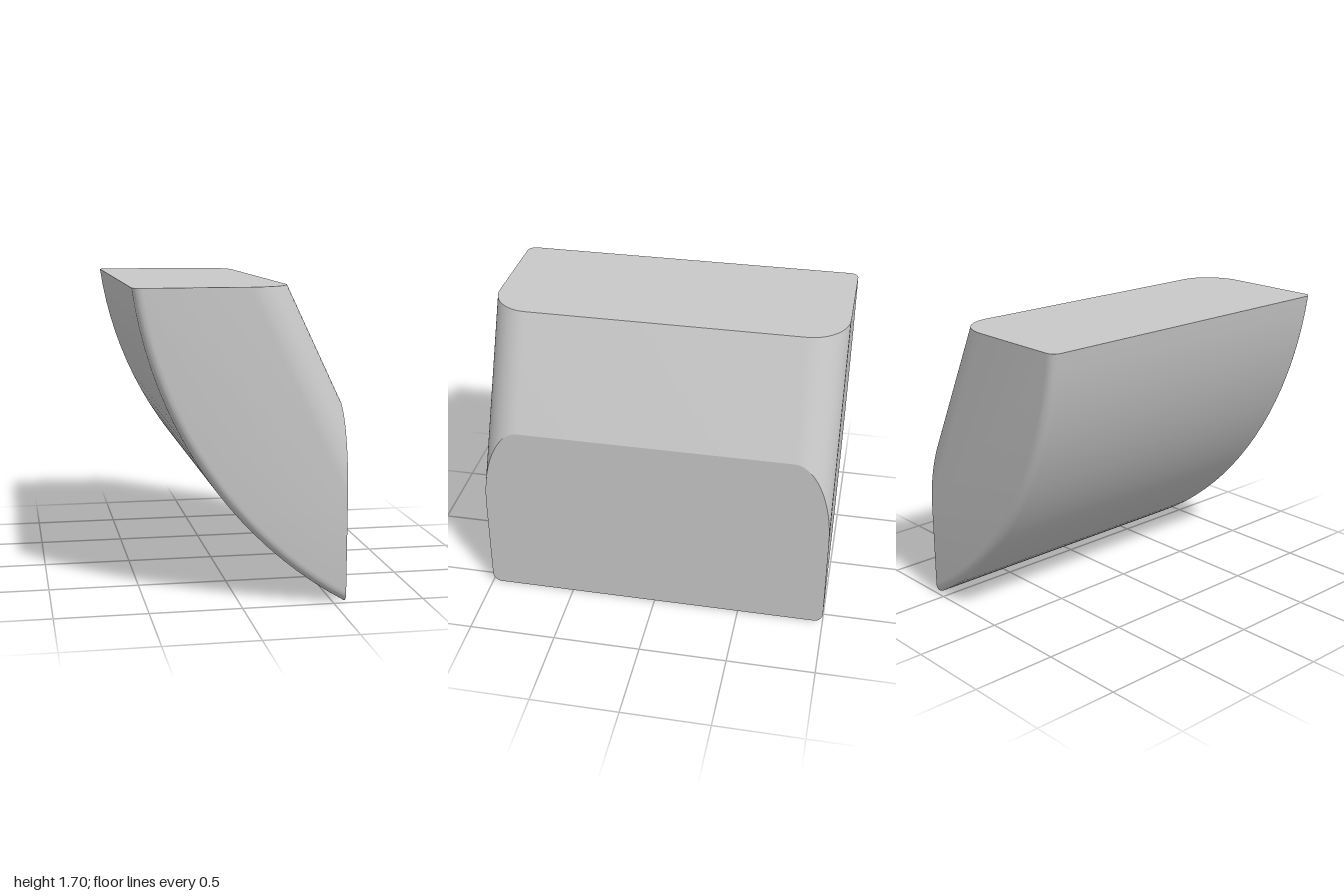
import * as THREE from 'three';
import { toCreasedNormals } from 'three/addons/utils/BufferGeometryUtils.js';

const TOP = 1.7, RIGHT = 0.567;            // flat top and flat right face
const ARC = { x: 1.743, y: 2.016, r: 2.334 }; // curved underside
const SLANT_R = 0.22, ARC_R = 0.05;        // edge roundings at both ends
const ARC_STEPS = 20;

// Inset of a rounded edge of radius r at distance w from the end face
const inset = (r, w) => (w >= r ? 0 : r - Math.sqrt(r * r - (r - w) ** 2));

// Cross-section at distance w from the end, counter-clockwise seen from +z
function section(w) {
  const length = Math.hypot(0.297, 0.62);
  const nx = 0.62 / length, ny = 0.297 / length;
  const d = 0.27 * nx + TOP * ny - inset(SLANT_R, w);
  const r = ARC.r - inset(ARC_R, w);
  const from = Math.PI + Math.asin((ARC.y - TOP) / r);
  const to = 2 * Math.PI - Math.acos((RIGHT - ARC.x) / r);
  const points = [[RIGHT, (d - RIGHT * nx) / ny], [(d - TOP * ny) / nx, TOP]];
  for (let i = 0; i <= ARC_STEPS; i++) {
    const a = from + ((to - from) * i) / ARC_STEPS;
    points.push([ARC.x + r * Math.cos(a), ARC.y + r * Math.sin(a)]);
  }
  return points;
}

// Distances from the end, closely spaced where the edges are rounded
function endSteps() {
  const steps = [];
  for (const [r, n] of [[SLANT_R, 12], [ARC_R, 5]]) {
    for (let i = 0; i <= n; i++) steps.push(r * (1 - Math.cos((i / n) * Math.PI / 2)));
  }
  return [...new Set(steps.map((w) => +w.toFixed(5)))].sort((a, b) => a - b);
}

function wedgeGeometry() {
  const steps = endSteps();
  const slices = [
    ...steps.map((w) => ({ w, z: w - 1 })),
    ...steps.map((w) => ({ w, z: 1 - w })).reverse(),
  ];
  const rings = slices.map(({ w, z }) => section(w).map(([x, y]) => [x, y, z]));
  const n = rings[0].length;
  const positions = [];
  const triangle = (a, b, c) => positions.push(...a, ...b, ...c);

  // Walls between neighbouring sections
  for (let i = 0; i < rings.length - 1; i++) {
    for (let j = 0; j < n; j++) {
      const k = (j + 1) % n;
      triangle(rings[i][j], rings[i][k], rings[i + 1][k]);
      triangle(rings[i][j], rings[i + 1][k], rings[i + 1][j]);
    }
  }
  // Flat end faces
  const back = rings[0], front = rings[rings.length - 1];
  for (let j = 1; j < n - 1; j++) {
    triangle(front[0], front[j], front[j + 1]);
    triangle(back[0], back[j + 1], back[j]);
  }

  const geometry = new THREE.BufferGeometry();
  geometry.setAttribute('position', new THREE.Float32BufferAttribute(positions, 3));
  return toCreasedNormals(geometry, 0.35);
}

export function createModel() {
  const grey = new THREE.MeshStandardMaterial({ color: 0xc8c8c8 });
  grey.name = 'light grey';
  const body = new THREE.Mesh(wedgeGeometry(), grey);
  body.name = 'wedgeBody';
  const group = new THREE.Group();
  group.name = 'curvedWedge';
  group.add(body);
  return group;
}
